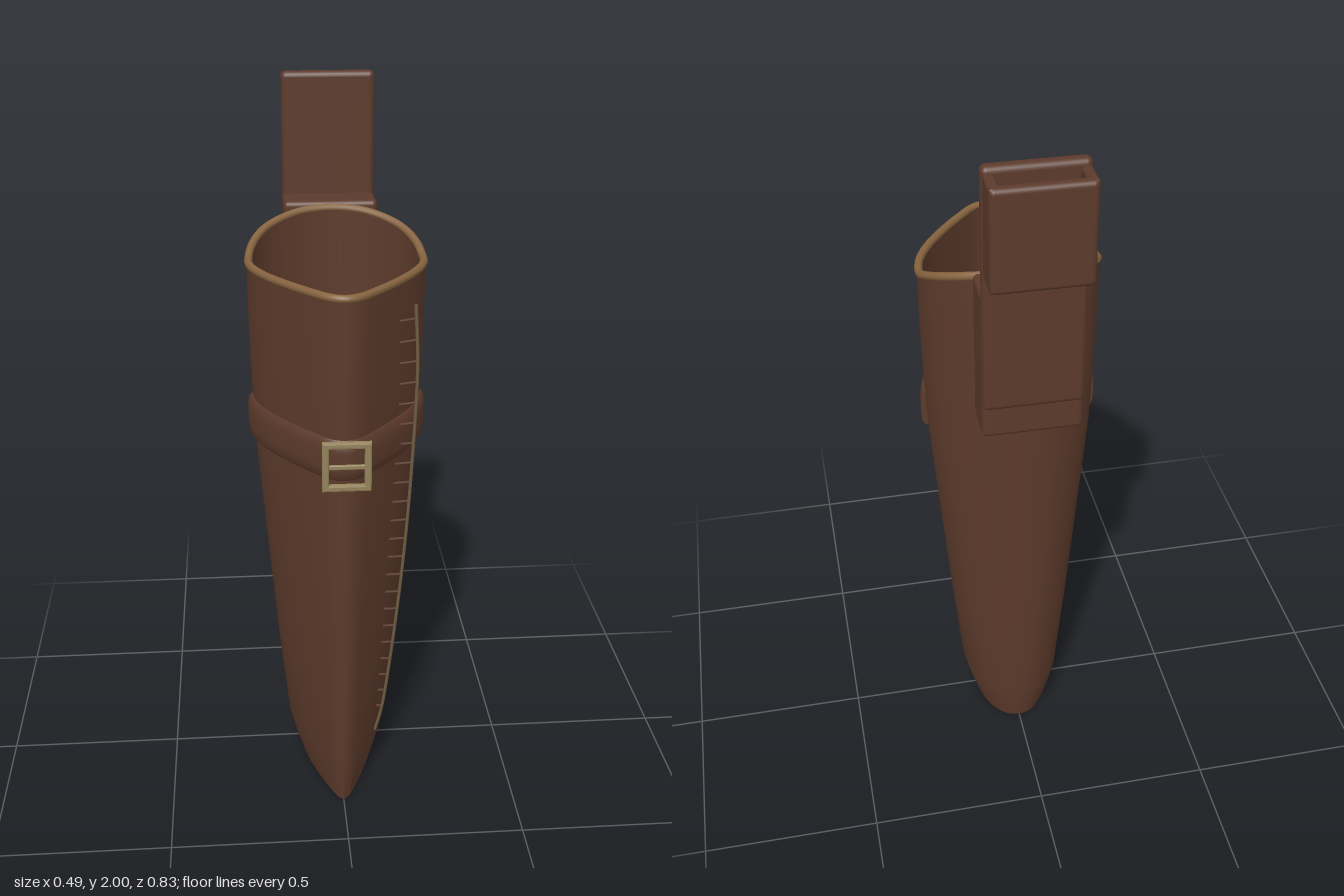
import * as THREE from 'three';
import { toCreasedNormals } from 'three/addons/utils/BufferGeometryUtils.js';
import { RoundedBoxGeometry } from 'three/addons/geometries/RoundedBoxGeometry.js';

const V = (x, y, z) => new THREE.Vector3(x, y, z);
const material = (name, color) => {
  const m = new THREE.MeshStandardMaterial({ color });
  m.name = name;
  return m;
};

// Closed rings joined into one skin, with sharp edges kept
function loft(rings, crease = 0.6) {
  const n = rings[0].length, index = [];
  for (let j = 0; j < rings.length - 1; j++) {
    for (let i = 0; i < n; i++) {
      const k = (i + 1) % n;
      const a = j * n + i, b = a + n, c = j * n + k, d = c + n;
      index.push(a, b, c, c, b, d);
    }
  }
  const g = new THREE.BufferGeometry().setFromPoints(rings.flat());
  g.setIndex(index);
  return toCreasedNormals(g.toNonIndexed(), crease);
}

// Teardrop outline: round back, pointed front
const half = [
  [0, -0.2], [0.1, -0.183], [0.19, -0.126], [0.232, -0.06], [0.245, 0.01], [0.235, 0.075],
  [0.2, 0.15], [0.14, 0.235], [0.08, 0.305], [0.038, 0.346], [0, 0.36],
];
const outlineCurve = new THREE.CatmullRomCurve3(
  [...half, ...half.slice(1, -1).reverse().map(([x, z]) => [-x, z])].map(([x, z]) => V(x, 0, z)),
  true
);
const outline = outlineCurve.getSpacedPoints(80).slice(0, 80);

// Height, half width, front reach, back reach
const levels = [
  [0, 0.108, 0.325, 0.168],
  [0.06, 0.128, 0.333, 0.18],
  [0.13, 0.146, 0.34, 0.19],
  [0.4, 0.173, 0.35, 0.195],
  [0.75, 0.203, 0.354, 0.198],
  [1.06, 0.229, 0.356, 0.199],
  [1.3, 0.238, 0.357, 0.2],
  [1.56, 0.242, 0.358, 0.2],
];

function ringAt([y, w, front, back], inset = 0, isTop = false) {
  return outline.map((p) => {
    const z = p.z > 0 ? (p.z / 0.36) * (front - inset * 1.3) : (p.z / 0.2) * (back - inset);
    return V((p.x / 0.245) * (w - inset), isTop ? 1.555 + Math.max(0, -z) * 0.46 : y, z);
  });
}

export function createModel() {
  const model = new THREE.Group();
  const leather = material('brown leather', 0x5c3a2b);
  const trim = material('tan trim', 0x86633f);
  const brass = material('aged brass', 0x93835a);
  const threadMat = material('waxed thread', 0x6e5c42);

  const add = (name, geometry, mat, parent = model) => {
    const m = new THREE.Mesh(geometry, mat);
    m.name = name;
    parent.add(m);
    return m;
  };

  // Sheath: outer wall, lip, inner wall and floor
  const last = levels.length - 1;
  const outer = levels.map((l, i) => ringAt(l, 0, i === last));
  const inner = levels.map((l, i) => ringAt(i ? l : [0.02, ...l.slice(1)], 0.015, i === last)).reverse();
  const point = (y) => outline.map(() => V(0, y, 0.05));
  add('sheath', loft([point(0), ...outer, ...inner, point(0.02)]), leather);

  // Rolled rim
  const rimPath = new THREE.CatmullRomCurve3(ringAt(levels[last], 0.006, true), true);
  add('rim', new THREE.TubeGeometry(rimPath, 160, 0.011, 10, true), trim);

  // Strap wrapped round the front half
  const profile = [
    [-0.012, 0.0575], [0.005, 0.0575], [0.012, 0.048], [0.015, 0.025], [0.015, -0.025],
    [0.012, -0.048], [0.005, -0.0575], [-0.012, -0.0575],
  ];
  const body = ringAt([1.12, 0.232, 0.353, 0.199]);
  const path = body.map((p, i) => ({ p, i })).filter(({ p }) => p.z > 0.008);
  const strapRings = path.map(({ p, i }) => {
    const t = body[(i + 1) % 80].clone().sub(body[(i + 79) % 80]).normalize();
    return profile.map(([o, y]) => V(p.x + t.z * o, 1.118 + y, p.z - t.x * o));
  });
  const endCap = (r) => {
    const c = r.reduce((s, p) => s.add(p), V(0, 0, 0)).divideScalar(r.length);
    return r.map(() => c.clone());
  };
  add('strap', loft([endCap(strapRings[0]), ...strapRings, endCap(strapRings.at(-1))], 0.8), leather);

  // Buckle: frame and prong
  const buckle = new THREE.Group();
  buckle.name = 'buckle';
  buckle.position.set(0, 1.12, 0.39);
  model.add(buckle);
  const rect = (S, w, h) => {
    const s = new S();
    s.moveTo(-w, -h).lineTo(w, -h).lineTo(w, h).lineTo(-w, h).closePath();
    return s;
  };
  const frame = rect(THREE.Shape, 0.059, 0.064);
  frame.holes.push(rect(THREE.Path, 0.051, 0.056));
  add('buckleFrame', new THREE.ExtrudeGeometry(frame, {
    depth: 0.009, bevelSize: 0.005, bevelThickness: 0.004, bevelSegments: 2,
  }), brass, buckle);
  add('bucklePron', new RoundedBoxGeometry(0.094, 0.013, 0.009, 2, 0.003), brass, buckle)
    .position.set(0, 0.004, 0.017);
  buckle.children[1].name = 'buckleProng';

  // Side lacing: long thread with short cross stitches
  const lace = new THREE.CatmullRomCurve3([
    V(0.19, 1.5, 0.232), V(0.198, 1.33, 0.234), V(0.19, 1.05, 0.233), V(0.173, 0.75, 0.226),
    V(0.143, 0.4, 0.206), V(0.122, 0.22, 0.192), V(0.104, 0.14, 0.184),
  ]);
  add('lace', new THREE.TubeGeometry(lace, 60, 0.0045, 8), threadMat);
  const stitches = new THREE.Group();
  stitches.name = 'stitches';
  model.add(stitches);
  for (let i = 0; i < 22; i++) {
    const a = lace.getPointAt(0.03 + (i / 21) * 0.9);
    const b = a.clone().add(V(-0.042, -0.014, -0.022));
    add('stitch', new THREE.TubeGeometry(new THREE.LineCurve3(a, b), 1, 0.004, 6), leather, stitches);
  }

  // Rear mount: block, hanger plate and belt loop
  const box = (name, x, y, z, r) =>
    add(name, new RoundedBoxGeometry(x[1] - x[0], y[1] - y[0], z[1] - z[0], 3, r), leather)
      .position.set((x[0] + x[1]) / 2, (y[0] + y[1]) / 2, (z[0] + z[1]) / 2);
  box('mountBlock', [-0.132, 0.132], [1.24, 1.66], [-0.32, -0.197], 0.014);
  box('hangerPlate', [-0.131, 0.131], [1.33, 2], [-0.332, -0.293], 0.016);
  box('beltLoopBack', [-0.127, 0.127], [1.715, 1.985], [-0.414, -0.38], 0.014);
  for (const s of [-1, 1]) {
    const xs = [s * 0.1, s * 0.127].sort((a, b) => a - b);
    box('beltLoopSide', xs, [1.715, 1.985], [-0.408, -0.32], 0.008);
  }
  return model;
}
